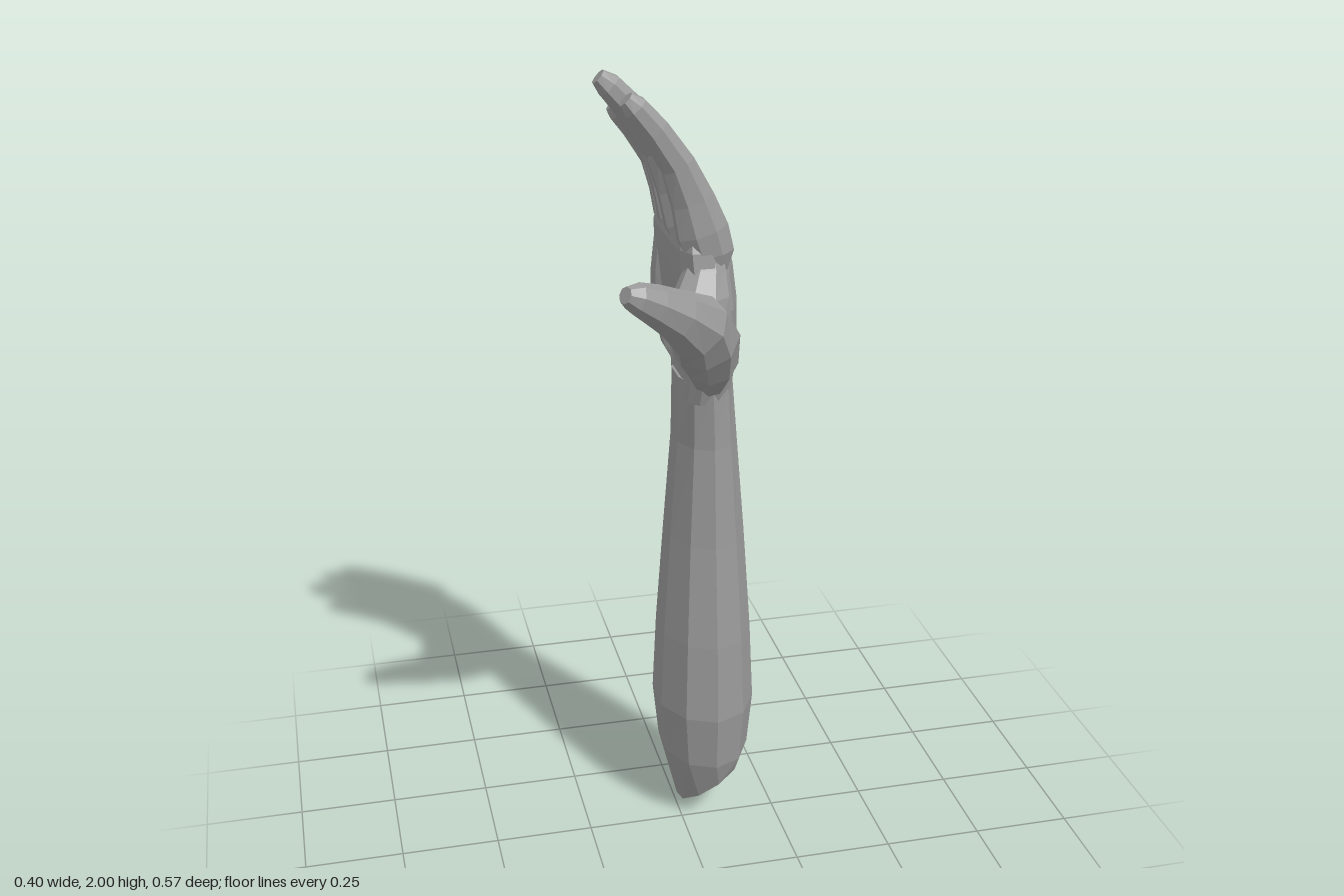
import * as THREE from 'three';

const material = new THREE.MeshStandardMaterial({ color: 0x999999, flatShading: true });

// Loft through sections [x, y, z, halfThickness, halfWidth]; width lies close to the z axis.
function loft(name, sections, { sides = 8, power = 1, level = false, adjust } = {}) {
  const centres = sections.map(s => new THREE.Vector3(s[0], s[1], s[2]));
  const widthAxis = new THREE.Vector3(0, 0, 1);
  const pos = [], index = [];
  const n = sections.length;
  const soften = c => Math.sign(c) * Math.pow(Math.abs(c), power);
  sections.forEach((s, i) => {
    const t = level ? new THREE.Vector3(0, 1, 0)
      : centres[Math.min(i + 1, n - 1)].clone().sub(centres[Math.max(i - 1, 0)]).normalize();
    const u = t.clone().cross(widthAxis).normalize();
    const v = u.clone().cross(t);
    for (let j = 0; j < sides; j++) {
      const a = (j + 0.5) / sides * Math.PI * 2;
      const p = centres[i].clone()
        .addScaledVector(u, s[3] * soften(Math.cos(a)))
        .addScaledVector(v, s[4] * soften(Math.sin(a)));
      if (adjust) adjust(p, i);
      pos.push(p.x, p.y, p.z);
    }
  });
  for (let i = 0; i < n - 1; i++) {
    for (let j = 0; j < sides; j++) {
      const a = i * sides + j, b = i * sides + (j + 1) % sides;
      index.push(a, a + sides, b, b, a + sides, b + sides);
    }
  }
  // End caps
  const last = (n - 1) * sides;
  for (let j = 1; j < sides - 1; j++) {
    index.push(0, j, j + 1, last, last + j + 1, last + j);
  }
  const geometry = new THREE.BufferGeometry();
  geometry.setAttribute('position', new THREE.Float32BufferAttribute(pos, 3));
  geometry.setIndex(index);
  geometry.computeVertexNormals();
  const mesh = new THREE.Mesh(geometry, material);
  mesh.name = name;
  return mesh;
}

// Finger shape as fractions along base-to-tip: [x, y, halfThickness, halfWidth]
const fingerShape = [
  [0.06, -0.1, 0.03, 0.025], [0.07, 0.1, 0.062, 0.047], [0.15, 0.23, 0.066, 0.05],
  [0.26, 0.41, 0.055, 0.044], [0.43, 0.62, 0.043, 0.042], [0.69, 0.82, 0.037, 0.041],
  [0.9, 0.95, 0.032, 0.036], [1, 1, 0.02, 0.02],
];

function finger(name, baseZ, tip, width) {
  const base = [0.068, 1.55, baseZ];
  return loft(name, fingerShape.map(([fx, fy, thick, wide]) => [
    base[0] + (tip[0] - base[0]) * fx,
    base[1] + (tip[1] - base[1]) * fy,
    base[2] + (tip[2] - base[2]) * fy,
    thick * (0.5 + width / 2), wide * width,
  ]));
}

export function createModel() {
  const group = new THREE.Group();
  group.name = 'arm';

  // Forearm, with the elbow end cut on a slant
  group.add(loft('forearm', [
    [0.09, 0.06, -0.075, 0.083, 0.12],
    [0.076, 0.19, -0.085, 0.116, 0.162],
    [0.074, 0.34, -0.08, 0.13, 0.174],
    [0.074, 0.55, -0.08, 0.12, 0.162],
    [0.075, 0.82, -0.083, 0.101, 0.136],
    [0.075, 1.08, -0.085, 0.08, 0.119],
    [0.07, 1.25, -0.087, 0.071, 0.122],
  ], {
    sides: 10, level: true,
    adjust: (p, i) => {
      if (i === 0) p.y = Math.max(0, 0.7 * (p.x - 0.02) + 0.4 * (p.z + 0.12));
    },
  }));

  // Palm, arched across its width and closing between the finger roots
  group.add(loft('palm', [
    [0.07, 1.2, -0.087, 0.066, 0.115],
    [0.078, 1.27, -0.095, 0.068, 0.145],
    [0.074, 1.36, -0.094, 0.074, 0.176],
    [0.067, 1.45, -0.09, 0.078, 0.198],
    [0.058, 1.54, -0.092, 0.076, 0.19],
    [0.05, 1.6, -0.094, 0.07, 0.184],
    [0.042, 1.635, -0.094, 0.05, 0.168],
  ], {
    sides: 12, power: 0.8, level: true,
    adjust: p => { p.x -= 0.7 * (p.z + 0.09) ** 2; },
  }));

  // Fleshy heel of the palm on the outer side
  group.add(loft('palmHeel', [
    [0.065, 1.21, -0.13, 0.03, 0.04],
    [0.045, 1.29, -0.18, 0.055, 0.065],
    [0.032, 1.38, -0.208, 0.062, 0.072],
    [0.03, 1.47, -0.214, 0.058, 0.07],
    [0.032, 1.55, -0.214, 0.052, 0.062],
    [0.04, 1.62, -0.22, 0.025, 0.035],
  ], { level: true }));

  // Fingers
  group.add(finger('indexFinger', 0.043, [-0.138, 1.955, 0.043], 0.97));
  group.add(finger('middleFinger', -0.055, [-0.18, 1.985, -0.065], 1));
  group.add(finger('ringFinger', -0.152, [-0.15, 1.95, -0.166], 0.95));
  group.add(finger('littleFinger', -0.236, [-0.115, 1.88, -0.25], 0.82));

  // Thumb
  group.add(loft('thumb', [
    [0.07, 1.24, 0.0, 0.035, 0.035],
    [0.058, 1.32, 0.05, 0.066, 0.068],
    [0.032, 1.395, 0.1, 0.084, 0.08],
    [0.0, 1.448, 0.148, 0.08, 0.074],
    [-0.06, 1.497, 0.195, 0.059, 0.059],
    [-0.12, 1.538, 0.23, 0.047, 0.047],
    [-0.165, 1.565, 0.255, 0.036, 0.035],
    [-0.19, 1.577, 0.268, 0.02, 0.02],
  ]));

  // Web between thumb and index finger
  group.add(loft('thumbWeb', [
    [0.05, 1.34, 0.04, 0.05, 0.06],
    [0.03, 1.43, 0.08, 0.072, 0.065],
    [0.022, 1.5, 0.09, 0.07, 0.045],
    [0.04, 1.56, 0.06, 0.05, 0.035],
    [0.05, 1.61, 0.045, 0.03, 0.02],
  ], { level: true }));

  return group;
}
